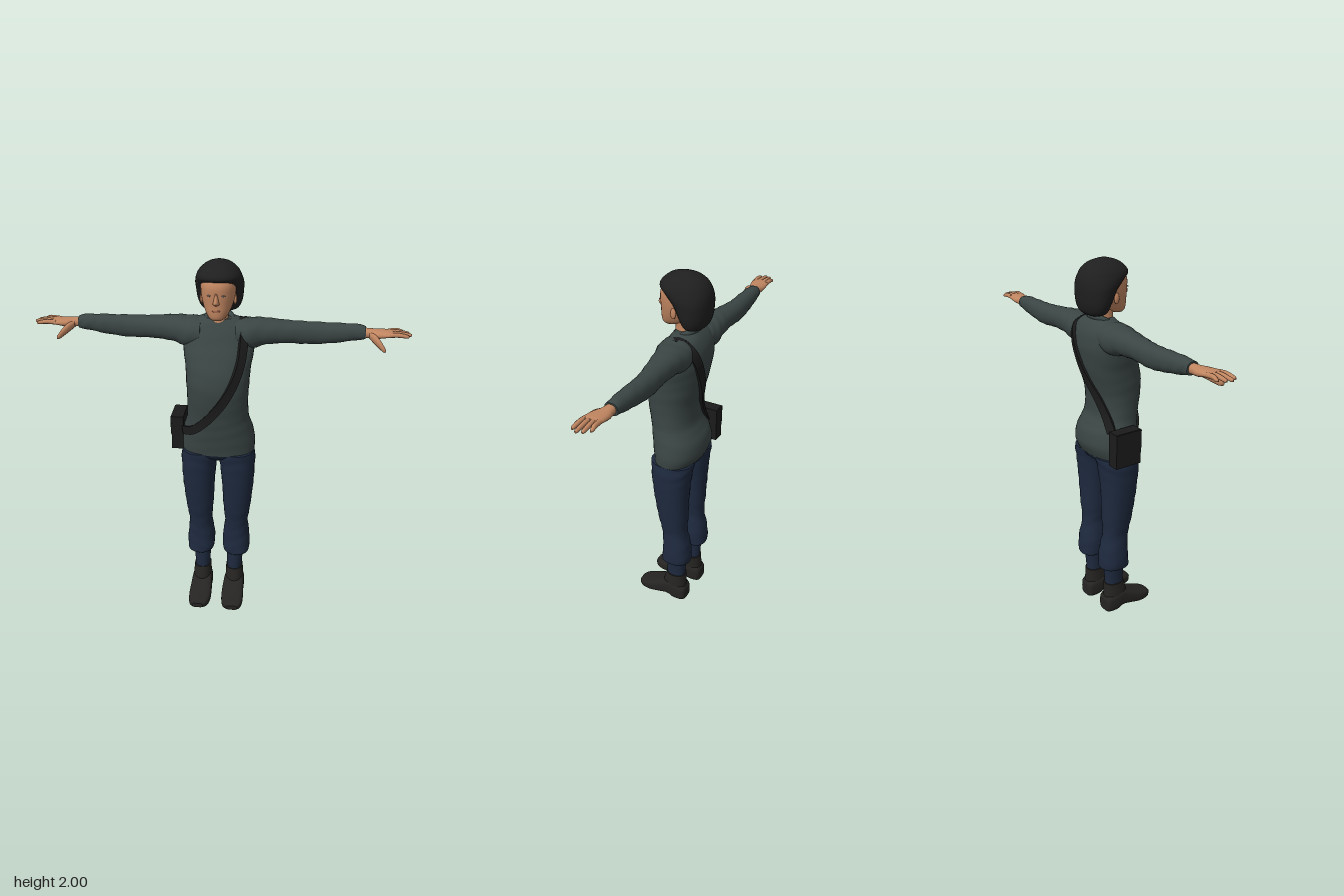
import * as THREE from 'three';

const mat = (name, color) => Object.assign(new THREE.MeshStandardMaterial({ color }), { name });
const M = {
  skin: mat('skin', 0xc08560), sweater: mat('sweater grey green', 0x3a4544), trousers: mat('trouser navy', 0x1e2a3f),
  hair: mat('hair black', 0x1f1f1f), boots: mat('boot black', 0x252422), strap: mat('leather black', 0x1b1b1b),
  lips: mat('lip brown', 0x9a5f4a), eyes: mat('eye grey', 0x8f8078),
};

// A section row is [along, uMin, uMax, vMin, vMax]; these place it for each axis.
const PLACE = { y: (a, u, v) => [u, a, v], x: (a, u, v) => [a, v, u], z: (a, u, v) => [v, u, a] };

// Adds in-between rows on a smooth curve through the given ones.
function refine(rows, steps = 4) {
  const out = [], at = i => rows[Math.min(rows.length - 1, Math.max(0, i))];
  for (let i = 0; i < rows.length - 1; i++) for (let k = 0; k < steps; k++) {
    const t = k / steps;
    out.push(at(i).map((b, j) => {
      const a = at(i - 1)[j], c = at(i + 1)[j], d = at(i + 2)[j];
      return 0.5 * (2 * b + (c - a) * t + (2 * a - 5 * b + 4 * c - d) * t * t + (3 * b - a - 3 * c + d) * t * t * t);
    }));
  }
  out.push(rows[rows.length - 1]);
  return out;
}

// Closed skin over rings of points, with flat end caps.
function skinRings(rings) {
  const n = rings[0].length, pos = rings.flat(2), idx = [];
  for (let i = 0; i < rings.length - 1; i++) for (let j = 0; j < n; j++) {
    const a = i * n + j, b = i * n + (j + 1) % n;
    idx.push(a, a + n, b, b, a + n, b + n);
  }
  [rings[0], rings[rings.length - 1]].forEach((ring, end) => {
    const base = pos.length / 3;
    pos.push(...ring.flat());
    pos.push(...[0, 1, 2].map(k => ring.reduce((s, p) => s + p[k], 0) / n));
    for (let j = 0; j < n; j++) {
      const a = base + j, b = base + (j + 1) % n;
      idx.push(base + n, ...(end ? [b, a] : [a, b]));
    }
  });
  const g = new THREE.BufferGeometry();
  g.setAttribute('position', new THREE.Float32BufferAttribute(pos, 3));
  g.setIndex(idx);
  g.computeVertexNormals();
  return g;
}

// Superellipse cross-sections along an axis; ripple adds soft cloth folds.
function loft(axis, rows, { e = 2.2, seg = 28, ripple = 0 } = {}) {
  const sp = v => Math.sign(v) * Math.pow(Math.abs(v), 2 / e);
  return skinRings(refine(rows).map(([a, u0, u1, v0, v1]) => Array.from({ length: seg }, (_, j) => {
    const t = j / seg * Math.PI * 2;
    const f = ripple * Math.sin(a * 75 + 2 * Math.sin(t * 2 + a * 9));
    return PLACE[axis](a, (u0 + u1) / 2 + ((u1 - u0) / 2 + f) * sp(Math.cos(t)),
      (v0 + v1) / 2 + ((v1 - v0) / 2 + f) * sp(Math.sin(t)));
  })));
}

function mirrored(geo) {
  const g = geo.clone().scale(-1, 1, 1), ix = g.index.array;
  for (let i = 0; i < ix.length; i += 3) [ix[i], ix[i + 1]] = [ix[i + 1], ix[i]];
  return g;
}

// Symmetric vertical rows: [y, halfWidth, zMin, zMax]
const sym = rows => rows.map(([y, w, z0, z1]) => [y, -w, w, z0, z1]);

const TORSO_E = 2.25;
const TORSO = sym([
  [0.972, 0.196, -0.147, 0.09], [1.03, 0.199, -0.169, 0.098], [1.1, 0.187, -0.161, 0.108], [1.15, 0.173, -0.138, 0.115],
  [1.2, 0.163, -0.118, 0.122], [1.3, 0.16, -0.118, 0.14], [1.38, 0.165, -0.138, 0.144], [1.45, 0.169, -0.155, 0.13],
  [1.52, 0.18, -0.167, 0.1], [1.58, 0.186, -0.172, 0.068], [1.64, 0.175, -0.163, 0.038], [1.68, 0.148, -0.145, 0.015],
  [1.708, 0.085, -0.12, -0.005]]);

// Point and outward normal on the torso front (+1) or back (-1).
function onTorso(x, y, side) {
  const rows = refine(TORSO);
  const i = Math.max(1, rows.findIndex(r => r[0] >= y)), t = (y - rows[i - 1][0]) / (rows[i][0] - rows[i - 1][0]);
  const [, , w, z0, z1] = rows[i].map((v, k) => rows[i - 1][k] + (v - rows[i - 1][k]) * t);
  const q = Math.min(0.999, Math.abs(x) / w), rz = (z1 - z0) / 2;
  const dz = side * rz * Math.pow(1 - Math.pow(q, TORSO_E), 1 / TORSO_E);
  return { p: new THREE.Vector3(x, y, (z0 + z1) / 2 + dz), n: new THREE.Vector3(x / (w * w), 0, dz / (rz * rz)).normalize() };
}

// Flat belt running over the shoulder from the front of the bag to its back.
function strapGeometry() {
  const keys = [
    ...[[-0.18, 1.09], [-0.12, 1.125], [-0.06, 1.18], [0.0, 1.255], [0.05, 1.33], [0.095, 1.42], [0.122, 1.51], [0.131, 1.6], [0.13, 1.65]].map(k => onTorso(...k, 1)),
    { p: new THREE.Vector3(0.125, 1.692, -0.065), n: new THREE.Vector3(0, 1, 0) },
    ...[[0.118, 1.65], [0.095, 1.59], [0.055, 1.5], [0.005, 1.4], [-0.05, 1.3], [-0.1, 1.21], [-0.15, 1.13]].map(k => onTorso(...k, -1))];
  const path = new THREE.CatmullRomCurve3(keys.map(k => k.p)), normals = new THREE.CatmullRomCurve3(keys.map(k => k.n));
  const rings = [];
  for (let i = 0; i <= 90; i++) {
    const t = i / 90, p = path.getPoint(t), tan = path.getTangent(t), n = normals.getPoint(t).normalize();
    const side = new THREE.Vector3().crossVectors(tan, n).normalize();
    const up = new THREE.Vector3().crossVectors(side, tan).normalize();
    rings.push([[1, -0.014], [1, 0.012], [-1, 0.012], [-1, -0.014]].map(([s, h]) =>
      p.clone().addScaledVector(side, s * 0.023).addScaledVector(up, h).toArray()));
  }
  const g = skinRings(rings).toNonIndexed();
  g.computeVertexNormals();
  return g;
}

export function createModel() {
  const root = new THREE.Group();
  root.name = 'woman';
  const add = (name, geo, m) => {
    const mesh = new THREE.Mesh(geo, m);
    mesh.name = name;
    root.add(mesh);
  };
  const pair = (name, geo, m) => { add('left' + name, geo, m); add('right' + name, mirrored(geo), m); };
  const blob = (x, y, z, a, b, c) => new THREE.SphereGeometry(1, 16, 12).scale(a, b, c).translate(x, y, z);

  // Head and face
  add('head', loft('y', sym([[1.722, 0.028, 0.01, 0.066], [1.735, 0.045, -0.03, 0.077], [1.76, 0.062, -0.08, 0.081], [1.8, 0.078, -0.12, 0.081],
    [1.85, 0.088, -0.14, 0.083], [1.9, 0.088, -0.14, 0.08], [1.95, 0.07, -0.12, 0.045], [1.975, 0.03, -0.07, 0]])), M.skin);
  add('nose', loft('y', sym([[1.803, 0.008, 0.06, 0.084], [1.811, 0.017, 0.06, 0.097], [1.822, 0.014, 0.06, 0.106],
    [1.85, 0.01, 0.05, 0.092], [1.872, 0.008, 0.05, 0.082]]), { seg: 14, e: 1.8 }), M.skin);
  add('neck', loft('y', sym([[1.62, 0.065, -0.115, 0.008], [1.68, 0.055, -0.1, 0.008], [1.72, 0.047, -0.095, 0.003], [1.78, 0.046, -0.09, 0.01]])), M.skin);
  add('mouth', blob(0, 1.775, 0.079, 0.022, 0.005, 0.004), M.lips);
  pair('Eye', blob(0.034, 1.852, 0.076, 0.013, 0.004, 0.004), M.eyes);
  pair('Ear', blob(0.085, 1.81, -0.022, 0.008, 0.028, 0.015), M.skin);

  // Rounded bob, set back below the hairline
  add('hair', loft('y', sym([[1.728, 0.06, -0.14, -0.075], [1.745, 0.095, -0.162, -0.052], [1.79, 0.115, -0.177, -0.03], [1.85, 0.122, -0.183, 0],
    [1.88, 0.123, -0.183, 0.028], [1.905, 0.119, -0.18, 0.057], [1.925, 0.113, -0.174, 0.08], [1.945, 0.104, -0.164, 0.078],
    [1.965, 0.087, -0.147, 0.06], [1.985, 0.06, -0.118, 0.03], [2.0, 0.02, -0.07, -0.02]]), { seg: 36, e: 2.15 }), M.hair);

  // Sweater
  add('sweaterBody', loft('y', TORSO, { e: TORSO_E, seg: 40, ripple: 0.0006 }), M.sweater);
  add('collar', new THREE.TorusGeometry(1, 0.24, 10, 32).rotateX(Math.PI / 2).scale(0.068, 0.07, 0.066)
    .rotateX(0.46).translate(0, 1.691, -0.052), M.sweater);
  pair('Sleeve', loft('x', [[0.09, -0.15, 0.035, 1.56, 1.698], [0.14, -0.156, 0.036, 1.545, 1.702], [0.185, -0.154, 0.022, 1.55, 1.701],
    [0.24, -0.149, 0.003, 1.566, 1.699], [0.35, -0.142, -0.02, 1.574, 1.689], [0.48, -0.142, -0.042, 1.568, 1.683],
    [0.6, -0.135, -0.045, 1.582, 1.682], [0.7, -0.127, -0.05, 1.6, 1.68], [0.742, -0.12, -0.052, 1.608, 1.672]], { ripple: 0.0015 }), M.sweater);

  // Hands
  pair('Palm', loft('x', [[0.73, -0.11, -0.06, 1.615, 1.665], [0.77, -0.114, -0.05, 1.616, 1.663], [0.8, -0.119, -0.032, 1.618, 1.662],
    [0.85, -0.118, -0.022, 1.629, 1.662], [0.875, -0.114, -0.025, 1.635, 1.659]], { seg: 20 }), M.skin);
  [[-0.105, -0.112, 0.935], [-0.083, -0.087, 0.96], [-0.059, -0.06, 0.97], [-0.036, -0.033, 0.955]].forEach(([z0, z1, tip], i) => {
    const sec = (x, z, y, r) => [x, z - r, z + r, y - r, y + r];
    pair('Finger' + (i + 1), loft('x', [sec(0.855, z0, 1.647, 0.012), sec(0.9, (z0 + z1) / 2, 1.65, 0.0115),
      sec(tip - 0.012, z1, 1.645, 0.009), sec(tip, z1, 1.643, 0.004)], { seg: 10 }), M.skin);
  });
  pair('Thumb', loft('x', [[0.76, -0.09, -0.048, 1.618, 1.652], [0.785, -0.068, -0.016, 1.6, 1.648], [0.81, -0.042, 0.004, 1.583, 1.63],
    [0.83, -0.02, 0.015, 1.571, 1.605], [0.842, -0.002, 0.013, 1.571, 1.587]], { seg: 12 }), M.skin);

  // Trousers with gathered cuffs, lower legs and boots
  add('trouserSeat', loft('y', sym([[0.91, 0.06, -0.07, 0.02], [0.945, 0.17, -0.128, 0.07], [0.974, 0.195, -0.146, 0.089]])), M.trousers);
  pair('TrouserLeg', loft('y', [[0.292, 0.035, 0.17, -0.13, 0.025], [0.31, 0.026, 0.18, -0.136, 0.031], [0.4, 0.025, 0.177, -0.13, 0.025],
    [0.5, 0.038, 0.167, -0.111, 0.03], [0.6, 0.03, 0.18, -0.115, 0.049], [0.75, 0.022, 0.195, -0.121, 0.07],
    [0.88, 0.01, 0.202, -0.132, 0.084], [0.94, 0, 0.201, -0.142, 0.088], [0.975, -0.004, 0.197, -0.146, 0.09]], { e: 2.3, ripple: 0.0015 }), M.trousers);
  pair('LowerLeg', loft('y', [[0.15, 0.052, 0.136, -0.098, 0.008], [0.22, 0.05, 0.138, -0.1, 0.01], [0.32, 0.045, 0.148, -0.11, 0.01]]), M.trousers);
  pair('BootShaft', loft('y', [[0.03, 0.038, 0.15, -0.112, 0.038], [0.1, 0.042, 0.148, -0.107, 0.033], [0.18, 0.045, 0.142, -0.104, 0.013]]), M.boots);
  pair('BootFoot', loft('z', [[-0.115, 0.008, 0.08, 0.06, 0.13], [-0.1, 0, 0.1, 0.044, 0.145], [-0.05, 0, 0.12, 0.037, 0.153], [-0.01, 0.018, 0.125, 0.036, 0.153],
    [0.05, 0.01, 0.098, 0.032, 0.156], [0.11, 0.002, 0.072, 0.032, 0.158], [0.16, 0.006, 0.056, 0.044, 0.15], [0.185, 0.016, 0.044, 0.068, 0.13]], { e: 3.6 }), M.boots);

  // Shoulder bag
  add('strap', strapGeometry(), M.strap);
  add('bag', new THREE.BoxGeometry(0.065, 0.19, 0.155).translate(-0.2185, 1.065, -0.062), M.strap);
  add('bagFlap', new THREE.BoxGeometry(0.006, 0.1, 0.157).translate(-0.252, 1.108, -0.062), M.strap);
  return root;
}
